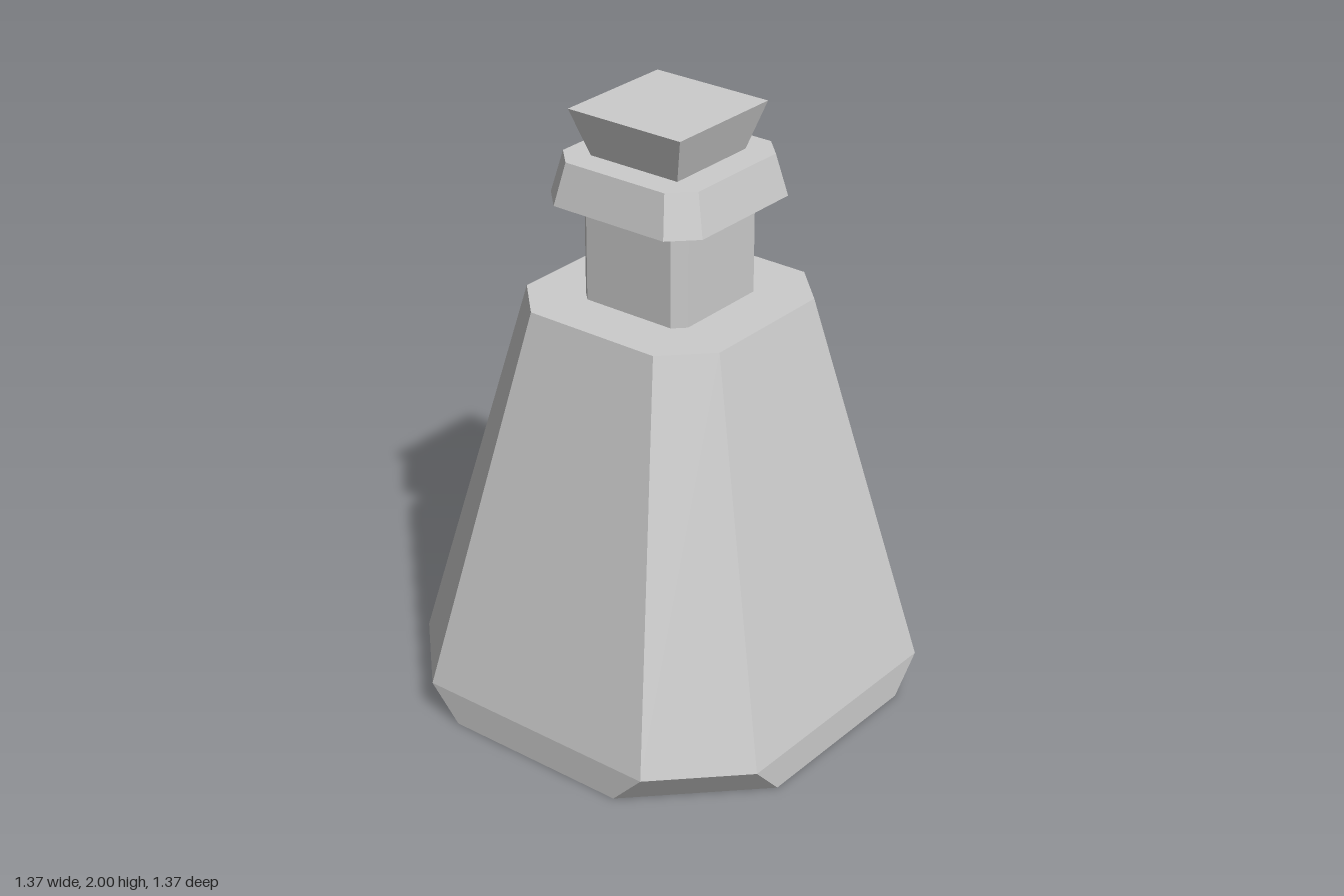
import * as THREE from 'three';

const material = new THREE.MeshStandardMaterial({ color: 0xcccccc, flatShading: true });

// Square with cut corners: h = half width, c = half length of each straight side
const ring = ([y, h, c]) =>
  [[-c, h], [c, h], [h, c], [h, -c], [c, -h], [-c, -h], [-h, -c], [-h, c]].map(([x, z]) => [x, y, z]);

// Closed solid through a stack of [y, h, c] sections
function chamferedSolid(name, sections) {
  const rings = sections.map(ring);
  const pos = [];
  const n = 8;
  const last = rings.length - 1;
  const bottom = [0, sections[0][0], 0];
  const top = [0, sections[last][0], 0];
  for (let i = 0; i < n; i++) {
    const j = (i + 1) % n;
    for (let k = 0; k < last; k++) {
      const [a, b, c, d] = [rings[k][i], rings[k][j], rings[k + 1][j], rings[k + 1][i]];
      pos.push(...a, ...b, ...c, ...a, ...c, ...d);
    }
    pos.push(...bottom, ...rings[0][j], ...rings[0][i]);
    pos.push(...top, ...rings[last][i], ...rings[last][j]);
  }
  const geometry = new THREE.BufferGeometry();
  geometry.setAttribute('position', new THREE.Float32BufferAttribute(pos, 3));
  geometry.computeVertexNormals();
  const mesh = new THREE.Mesh(geometry, material);
  mesh.name = name;
  return mesh;
}

export function createModel() {
  const group = new THREE.Group();
  group.name = 'bottle';

  // Tapered body with undercut corners at the base
  group.add(chamferedSolid('body', [[0, 0.687, 0.325], [0.112, 0.687, 0.433], [1.382, 0.379, 0.239]]));

  // Neck
  group.add(chamferedSolid('neck', [[1.382, 0.201, 0.164], [1.712, 0.201, 0.164]]));

  // Flared collar around the mouth
  const collar = chamferedSolid('collar', [[1.712, 0.293, 0.211], [1.848, 0.26, 0.189]]);
  collar.position.x = -0.002;
  group.add(collar);

  // Square stopper, wider at the top
  const geometry = new THREE.CylinderGeometry(0.213 * Math.SQRT2, 0.166 * Math.SQRT2, 0.152, 4);
  geometry.rotateY(Math.PI / 4);
  const stopper = new THREE.Mesh(geometry, material);
  stopper.name = 'stopper';
  stopper.position.set(-0.003, 1.924, 0.003);
  group.add(stopper);

  return group;
}
